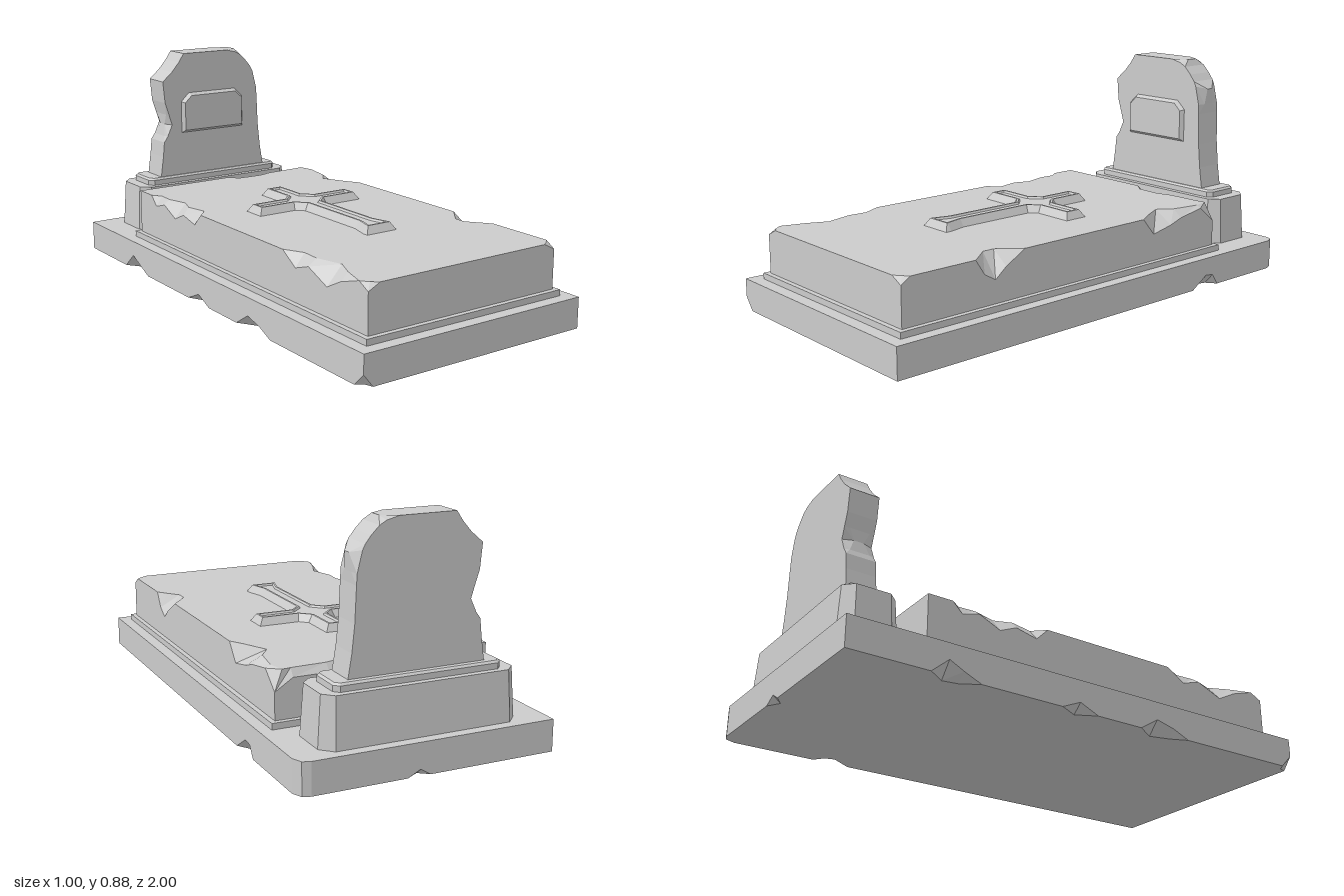
import * as THREE from 'three';

const material = new THREE.MeshStandardMaterial({ color: 0xcccccc, flatShading: true });

// Skins a stack of matching counter-clockwise rings of [u, v, w] points and caps both ends.
function loft(rings) {
  const pos = [];
  const tri = (a, b, c) => {
    const [A, B, C] = [a, b, c].map((p) => new THREE.Vector3(...p));
    if (B.clone().sub(A).cross(C.clone().sub(A)).length() > 1e-9) pos.push(...a, ...b, ...c);
  };
  for (let r = 0; r < rings.length - 1; r++) {
    const lo = rings[r], hi = rings[r + 1];
    lo.forEach((p, i) => {
      const j = (i + 1) % lo.length;
      tri(p, lo[j], hi[j]);
      tri(p, hi[j], hi[i]);
    });
  }
  const cap = (ring, flip) => {
    const flat = ring.map((p) => new THREE.Vector2(p[0], p[1]));
    for (const [a, b, c] of THREE.ShapeUtils.triangulateShape(flat, [])) {
      if (flip) tri(ring[a], ring[c], ring[b]);
      else tri(ring[a], ring[b], ring[c]);
    }
  };
  cap(rings[0], true);
  cap(rings[rings.length - 1], false);
  const g = new THREE.BufferGeometry();
  g.setAttribute('position', new THREE.Float32BufferAttribute(pos, 3));
  g.computeVertexNormals();
  return g;
}

// Block whose upper rim is chipped: points are [u, v, insetU, insetV, drop].
// With bothRims the same chips are repeated on the lower rim.
function chippedBlock(points, depth, bothRims = false) {
  const rim = (w) => points.map(([u, v, iu = 0, iv = 0]) => [u + iu, v + iv, w]);
  const wall = (f) => points.map(([u, v, , , d = 0]) => [u, v, f(d)]);
  const rings = [wall((d) => (bothRims ? d : 0)), wall((d) => depth - d), rim(depth)];
  if (bothRims) rings.unshift(rim(0));
  return loft(rings);
}

// Mitred inward offset of a counter-clockwise outline.
function inset(points, d) {
  const n = points.length;
  return points.map((p, i) => {
    const a = points[(i + n - 1) % n], b = points[(i + 1) % n];
    const normal = (s, e) => new THREE.Vector2(s[1] - e[1], e[0] - s[0]).normalize();
    const n1 = normal(a, p), n2 = normal(p, b);
    const k = d / (1 + n1.dot(n2));
    return [p[0] + (n1.x + n2.x) * k, p[1] + (n1.y + n2.y) * k];
  });
}

// Rings given as [inset, height] steps over one outline.
const steppedBlock = (outline, steps) =>
  loft(steps.map(([d, w]) => inset(outline, d).map(([u, v]) => [u, v, w])));

// Rectangle with clipped corners.
const octagon = (x, y, c) => [
  [-x + c, -y], [x - c, -y], [x, -y + c], [x, y - c],
  [x - c, y], [-x + c, y], [-x, y - c], [-x, -y + c],
];

export function createModel() {
  const model = new THREE.Group();
  const add = (name, geometry, x = 0, y = 0, z = 0) => {
    const mesh = new THREE.Mesh(geometry, material);
    mesh.name = name;
    mesh.position.set(x, y, z);
    model.add(mesh);
  };
  const upright = (g) => g.rotateX(-Math.PI / 2);

  // Ground plinth, chipped along its lower rim (points in x, z)
  const plinth = [
    [-0.5, -1], [0.0, -1], [0.04, -1, 0, 0.03, 0.025], [0.09, -1],
    [0.45, -1], [0.48, -0.99], [0.497, -0.95],
    [0.497, -0.62], [0.497, -0.59, -0.04, 0, 0.045], [0.497, -0.55, -0.05, 0, 0.05], [0.497, -0.47],
    [0.497, 1], [-0.46, 1], [-0.5, 1, 0.03, -0.03, 0.05], [-0.5, 0.95],
    [-0.5, 0.45], [-0.5, 0.38, 0.03, 0, 0.03], [-0.5, 0.3, 0.05, 0, 0.05], [-0.5, 0.22],
    [-0.5, 0.02], [-0.5, -0.06, 0.04, 0, 0.035], [-0.5, -0.14],
    [-0.5, -0.48], [-0.5, -0.55, 0.04, 0, 0.03], [-0.5, -0.61, 0.05, 0, 0.06], [-0.5, -0.68],
  ];
  add('plinth', chippedBlock(plinth, 0.122).rotateX(Math.PI / 2), 0, 0.122, 0);

  // Thin step under the slab
  add('slabStep', new THREE.BoxGeometry(0.9, 0.025, 1.63), 0, 0.1335, 0.135);

  // Grave slab with broken upper edges (points in x, z)
  const slab = [
    [-0.43, 0.93, 0.022, -0.02, 0.025], [-0.38, 0.93],
    [0.38, 0.93], [0.43, 0.93, -0.022, -0.02, 0.025], [0.43, 0.89],
    [0.43, 0.61], [0.43, 0.57, -0.03, 0, 0.06], [0.43, 0.52, -0.07, 0, 0.09],
    [0.43, 0.47, -0.07, 0, 0.05], [0.43, 0.38],
    [0.43, -0.24], [0.43, -0.3, -0.035, 0, 0.07], [0.43, -0.4, -0.083, 0, 0.05],
    [0.43, -0.46, -0.04, 0, 0.03], [0.43, -0.58, -0.02, 0, 0.01],
    [0.43, -0.66, -0.035, 0.015, 0.075], [0.36, -0.66, 0, 0.02, 0.03],
    [0.22, -0.66, 0, 0.025, 0.03], [0.15, -0.66, 0, 0.045, 0.05], [0.05, -0.66, 0, 0.04, 0.03], [0, -0.66],
    [-0.43, -0.66], [-0.43, -0.56], [-0.43, -0.52, 0.028, 0, 0.04], [-0.43, -0.45, 0.025, 0, 0.02],
    [-0.43, -0.36, 0.05, 0, 0.06], [-0.43, -0.29, 0.025, 0, 0.03], [-0.43, -0.2, 0.045, 0, 0.05], [-0.43, -0.15],
    [-0.43, 0.43], [-0.43, 0.51, 0.04, 0, 0.05], [-0.43, 0.59, 0.035, 0, 0.025],
    [-0.43, 0.7, 0.065, 0, 0.07], [-0.43, 0.78, 0.03, 0, 0.03], [-0.43, 0.88],
  ].map(([x, z, ix = 0, iz = 0, d = 0]) => [x, -z, ix, -iz, d]);
  add('slab', upright(chippedBlock(slab, 0.179)), 0, 0.146, 0);

  // Raised cross with bevelled sides, narrow rim and sunken face
  const half = [
    [0.07, -0.46], [0.07, -0.435], [0.05, -0.36], [0.05, -0.03], [0.08, 0], [0.245, 0],
    [0.245, 0.1], [0.08, 0.1], [0.05, 0.13], [0.05, 0.29],
  ];
  const cross = [...half, ...half.map(([x, y]) => [-x, y]).reverse()];
  add('cross', upright(steppedBlock(cross, [[0, 0], [0.018, 0.03], [0.026, 0.03], [0.031, 0.022]])), 0, 0.325, 0);

  // Headstone pedestal and its moulding
  add('pedestal', upright(steppedBlock(octagon(0.387, 0.117, 0.045), [[0, 0], [0.012, 0.19]])), 0, 0.122, -0.842);
  add('pedestalMoulding', upright(steppedBlock(octagon(0.328, 0.081, 0.02), [[0, 0], [0, 0.022], [0.008, 0.03]])), 0, 0.312, -0.842);

  // Headstone with flared foot, scooped shoulders and broken edges (points in x, y)
  const headstone = [
    [-0.267, 0.342], [0.267, 0.342], [0.253, 0.43], [0.243, 0.53], [0.238, 0.66],
    [0.24, 0.7, -0.004, 0, 0.035], [0.245, 0.765, -0.028, 0.012, 0.045], [0.207, 0.797],
    [0.185, 0.825], [0.155, 0.855], [0.14, 0.882, -0.012, -0.012, 0.035], [0.08, 0.882],
    [-0.14, 0.882], [-0.165, 0.845], [-0.2, 0.805], [-0.247, 0.765], [-0.238, 0.67],
    [-0.225, 0.615, 0.005, 0, 0.02], [-0.222, 0.57, 0.016, 0, 0.04], [-0.235, 0.52, 0.006, 0, 0.02],
    [-0.247, 0.495], [-0.254, 0.43],
  ];
  add('headstone', chippedBlock(headstone, 0.12, true), 0, 0, -0.895);

  // Bevelled name plate with clipped upper corners
  const plate = [[-0.158, 0.53], [0.158, 0.53], [0.158, 0.67], [0.118, 0.707], [-0.118, 0.707], [-0.158, 0.67]];
  add('plate', steppedBlock(plate, [[0, 0], [0.012, 0.018]]), 0, 0, -0.776);

  return model;
}
